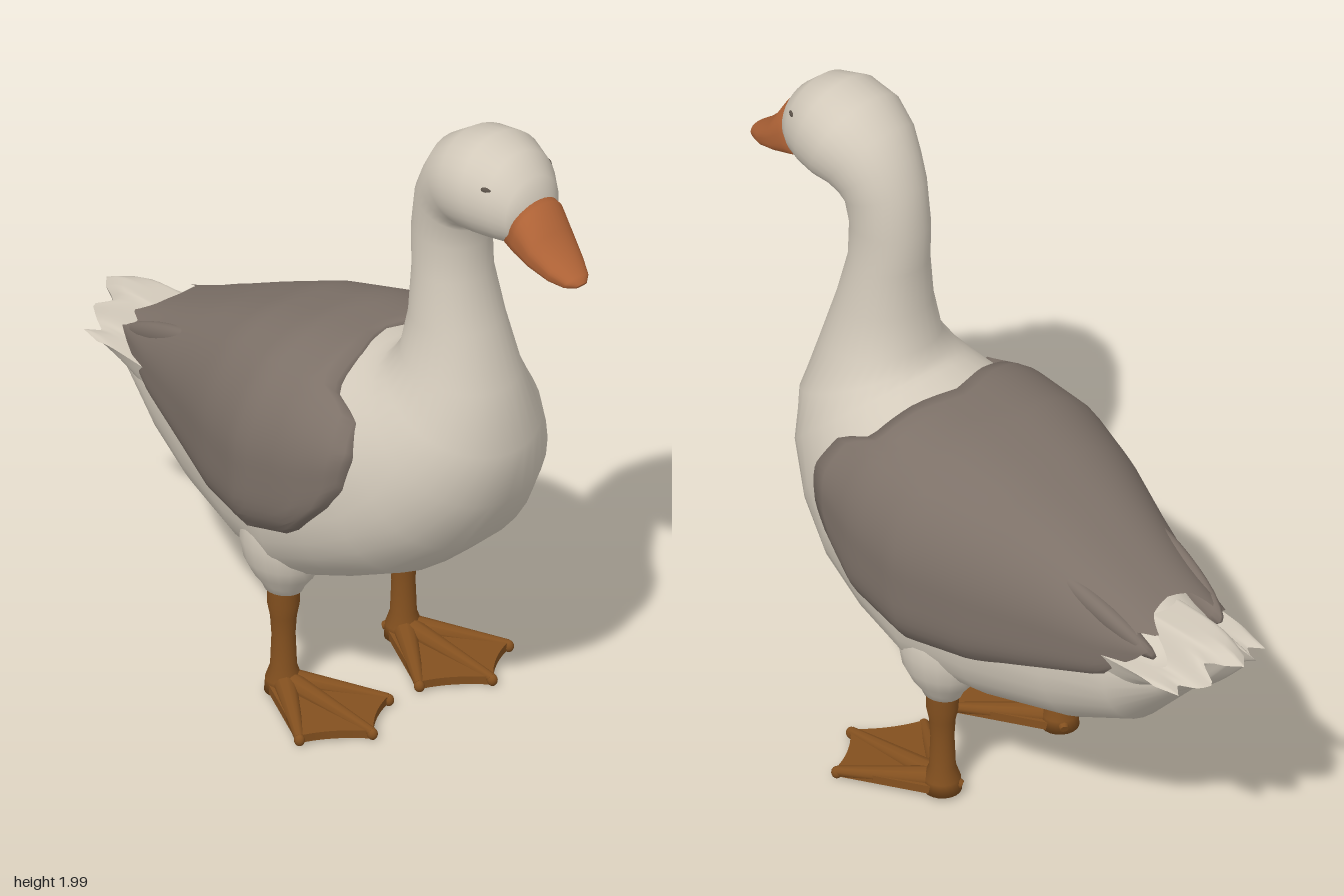
import * as THREE from 'three';

const white = new THREE.MeshStandardMaterial({ color: 0xd3cabb });
const brown = new THREE.MeshStandardMaterial({ color: 0x7d7168, side: THREE.DoubleSide });
const orange = new THREE.MeshStandardMaterial({ color: 0xb16437 });
const ochre = new THREE.MeshStandardMaterial({ color: 0x83501f });
const dark = new THREE.MeshStandardMaterial({ color: 0x5a5148 });
white.name = 'cream plumage';
brown.name = 'grey brown plumage';
orange.name = 'beak orange';
ochre.name = 'leg ochre';
dark.name = 'eye dark';

function mesh(name, geometry, material) {
  const m = new THREE.Mesh(geometry, material);
  m.name = name;
  return m;
}

function buildGeometry(positions, index) {
  const g = new THREE.BufferGeometry();
  g.setAttribute('position', new THREE.Float32BufferAttribute(positions, 3));
  g.setIndex(index);
  g.computeVertexNormals();
  return g;
}

// Closed loft: each ring is [topZ, topY, bottomZ, bottomY, halfWidth, belly power];
// a power under 1 makes the lower half of that ring boxier
function loft(rings, n = 32) {
  const pos = [], idx = [];
  const bulge = (v, p) => Math.sign(v) * Math.abs(v) ** p;
  for (const [tz, ty, bz, by, w, belly = 0.97] of rings) {
    for (let j = 0; j < n; j++) {
      const a = (j / n) * Math.PI * 2;
      const power = Math.cos(a) < 0 ? belly : 0.97;
      const c = bulge(Math.cos(a), power) / 2;
      pos.push(w * bulge(Math.sin(a), power), (ty + by) / 2 + (ty - by) * c, (tz + bz) / 2 + (tz - bz) * c);
    }
  }
  for (let i = 0; i < rings.length - 1; i++) {
    for (let j = 0; j < n; j++) {
      const a = i * n + j, b = i * n + (j + 1) % n;
      idx.push(a, a + n, b, b, a + n, b + n);
    }
  }
  for (const end of [0, rings.length - 1]) {
    const [tz, ty, bz, by] = rings[end];
    const centre = pos.length / 3;
    pos.push(0, (ty + by) / 2, (tz + bz) / 2);
    for (let j = 0; j < n; j++) {
      const a = end * n + j, b = end * n + (j + 1) % n;
      if (end) idx.push(centre, b, a);
      else idx.push(centre, a, b);
    }
  }
  return buildGeometry(pos, idx);
}

// Linear lookup in a list of [key, value...] with rising keys
function lookup(table, key, column = 1) {
  let i = 1;
  while (i < table.length - 1 && table[i][0] < key) i++;
  const a = table[i - 1], b = table[i];
  const t = THREE.MathUtils.clamp((key - a[0]) / (b[0] - a[0]), 0, 1);
  return a[column] + (b[column] - a[column]) * t;
}

// Sheet of points from a rule (u, v in 0..1), u running back and v running to +x
function sheet(nu, nv, rule, flip = false) {
  const pos = [], idx = [], row = nv + 1;
  for (let i = 0; i <= nu; i++) {
    for (let j = 0; j <= nv; j++) {
      pos.push(...rule(i / nu, j / nv));
      if (i === nu || j === nv) continue;
      const a = i * row + j, b = a + 1, c = a + row, d = c + 1;
      if (flip) idx.push(a, c, b, b, c, d);
      else idx.push(a, b, c, b, d, c);
    }
  }
  return buildGeometry(pos, idx);
}

// Folded wings and back: an open shell draped over the body
function mantlePoint(u, across) {
  const stations = [ // z, half width, top y, lower y
    [-0.76, 0.15, 0.88, 0.79], [-0.6, 0.205, 0.95, 0.69], [-0.4, 0.275, 1.04, 0.64],
    [-0.2, 0.355, 1.12, 0.605], [0, 0.413, 1.17, 0.6], [0.2, 0.405, 1.185, 0.65], [0.39, 0.36, 1.11, 0.8],
  ];
  const frontEdge = [[0, 0.18], [0.1, 0.22], [0.28, 0.25], [0.34, 0.36], [0.55, 0.39], [0.8, 0.37], [0.9, 0.32], [1, 0.16]];
  const backEdge = [[0, -0.68], [0.15, -0.7], [0.3, -0.76], [0.4, -0.7], [0.6, -0.76], [0.8, -0.72], [1, -0.6]];
  const v = across * 2 - 1, s = Math.abs(v);
  const z = THREE.MathUtils.lerp(lookup(frontEdge, s), lookup(backEdge, s), Math.max(0, (u - 0.04) / 0.96));
  const w = lookup(stations, z, 1), top = lookup(stations, z, 2), low = lookup(stations, z, 3);
  const mid = low + 0.4 * (top - low);
  // the front rim is tucked under so it looks thick
  const tuck = u === 0 ? 0.9 : 1, drop = u === 0 ? 0.025 : 0;
  if (s < 0.7) {
    const a = (s / 0.7) * Math.PI / 2;
    return [Math.sign(v) * w * Math.sin(a) ** 0.75 * tuck, mid + (top - mid) * Math.cos(a) - drop, z];
  }
  const t = (s - 0.7) / 0.3;
  return [Math.sign(v) * w * (1 - 0.12 * t ** 5) * tuck, mid + (low - mid) * t - drop, z];
}

// Tail wedge: a raised middle, sides that sweep lower, and pointed feather ends
function tailPoint(lower) {
  const tips = [[0, -0.99], [0.2, -0.95], [0.34, -0.89], [0.45, -0.955], [0.6, -0.9], [0.72, -0.86], [0.9, -0.9], [1, -0.82]];
  return (u, across) => {
    const v = across * 2 - 1, s = Math.abs(v);
    const side = THREE.MathUtils.smoothstep(s, 0.25, 0.6);
    const tipY = THREE.MathUtils.lerp(0.835, 0.77, side);
    const upper = THREE.MathUtils.lerp(THREE.MathUtils.lerp(0.873, 0.78, side), tipY, u ** 7);
    const under = THREE.MathUtils.lerp(THREE.MathUtils.lerp(0.53, 0.77, u ** 0.9), tipY, u ** 6);
    const y = lower ? THREE.MathUtils.lerp(under, upper, s ** 3) : upper;
    return [v * (0.2 - 0.015 * u), y, THREE.MathUtils.lerp(-0.6, lookup(tips, s), u)];
  };
}

function ellipsoid(name, material, centre, radii, rotation = [0, 0, 0]) {
  const m = mesh(name, new THREE.SphereGeometry(1, 18, 12), material);
  m.position.set(...centre);
  m.scale.set(...radii);
  m.rotation.set(...rotation);
  return m;
}

function lathe(name, profile, material) {
  return mesh(name, new THREE.LatheGeometry(profile.map((p) => new THREE.Vector2(...p)), 20), material);
}

// Tapered toe from the ankle to a tip
function toe(from, to, r0, r1) {
  const a = new THREE.Vector3(...from), b = new THREE.Vector3(...to);
  const m = mesh('toe', new THREE.CylinderGeometry(r1, r0, a.distanceTo(b), 10), ochre);
  m.position.copy(a).add(b).multiplyScalar(0.5);
  m.quaternion.setFromUnitVectors(new THREE.Vector3(0, 1, 0), b.sub(a).normalize());
  return m;
}

function createLeg(side) {
  const leg = new THREE.Group();
  leg.name = side > 0 ? 'leftLeg' : 'rightLeg';
  leg.position.x = side * 0.225;
  leg.add(lathe('shank', [[0, 0.015], [0.055, 0.02], [0.052, 0.06], [0.038, 0.1], [0.034, 0.2], [0.038, 0.26], [0.046, 0.3], [0.048, 0.4]], ochre));
  // feathered thigh flaring up into the belly
  const thigh = lathe('thigh', [[0.04, 0.345], [0.052, 0.35], [0.06, 0.37], [0.085, 0.405], [0.106, 0.45],
    [0.116, 0.51], [0.112, 0.57], [0.09, 0.63], [0.04, 0.68]], white);
  thigh.scale.z = 1.15;
  leg.add(thigh);
  // webbed foot
  const web = new THREE.Shape();
  web.moveTo(-0.04, -0.03);
  web.lineTo(-0.17, 0.25);
  web.quadraticCurveTo(-0.07, 0.28, 0.01, 0.365);
  web.quadraticCurveTo(0.08, 0.28, 0.175, 0.25);
  web.lineTo(0.04, -0.03);
  const webGeo = new THREE.ExtrudeGeometry(web, { depth: 0.025, bevelEnabled: false });
  webGeo.rotateX(Math.PI / 2);
  const webMesh = mesh('web', webGeo, ochre);
  webMesh.position.y = 0.05;
  webMesh.rotation.x = 0.04;
  leg.add(webMesh);
  for (const [x, z] of [[-0.165, 0.25], [0.01, 0.36], [0.17, 0.25]]) {
    leg.add(toe([0, 0.052, 0.0], [x, 0.03, z], 0.036, 0.014));
    leg.add(ellipsoid('toeTip', ochre, [x, 0.025, z], [0.015, 0.018, 0.016]));
  }
  leg.add(toe([0, 0.06, 0], [-side * 0.03, 0.04, -0.05], 0.03, 0.012));
  return leg;
}

export function createModel() {
  const goose = new THREE.Group();
  goose.name = 'goose';

  // Body, neck and head in one skin
  goose.add(mesh('body', loft([
    [-0.8, 0.81, -0.83, 0.72, 0.1], [-0.75, 0.84, -0.77, 0.64, 0.14],
    [-0.6, 0.91, -0.62, 0.485, 0.185], [-0.4, 0.99, -0.43, 0.405, 0.25, 0.9],
    [-0.15, 1.1, -0.17, 0.376, 0.33, 0.74], [0.05, 1.15, 0.05, 0.376, 0.37, 0.68],
    [0.18, 1.172, 0.24, 0.45, 0.37, 0.72], [0.24, 1.18, 0.43, 0.53, 0.35, 0.82],
    [0.265, 1.19, 0.58, 0.66, 0.315, 0.88], [0.28, 1.195, 0.685, 0.83, 0.275],
    [0.295, 1.21, 0.71, 1.0, 0.225], [0.315, 1.25, 0.665, 1.18, 0.165],
    [0.338, 1.36, 0.61, 1.35, 0.135], [0.343, 1.5, 0.57, 1.5, 0.115],
    [0.335, 1.62, 0.57, 1.61, 0.11], [0.36, 1.76, 0.58, 1.67, 0.118],
    [0.4, 1.84, 0.59, 1.685, 0.13], [0.45, 1.92, 0.61, 1.692, 0.145], [0.54, 1.98, 0.65, 1.695, 0.163],
    [0.64, 2.0, 0.7, 1.7, 0.157], [0.73, 1.975, 0.755, 1.705, 0.13],
    [0.79, 1.92, 0.785, 1.715, 0.1], [0.82, 1.86, 0.8, 1.74, 0.07],
  ]), white));

  // Beak, flat underneath
  goose.add(mesh('beak', loft([
    [0.79, 1.875, 0.745, 1.7, 0.086, 0.7], [0.835, 1.855, 0.79, 1.69, 0.092, 0.65],
    [0.88, 1.78, 0.85, 1.675, 0.085, 0.6], [0.94, 1.72, 0.915, 1.655, 0.066, 0.6],
    [0.985, 1.685, 0.96, 1.647, 0.044, 0.7], [1.0, 1.668, 0.985, 1.65, 0.02],
  ]), orange));

  goose.add(mesh('foldedWings', sheet(25, 56, mantlePoint), brown));
  goose.add(mesh('tailTop', sheet(10, 60, tailPoint(false)), white));
  goose.add(mesh('tailUnderside', sheet(10, 60, tailPoint(true), true), white));

  for (const side of [-1, 1]) {
    // flight feathers lying along the edge of the back
    goose.add(ellipsoid('flightFeather', brown, [side * 0.15, 0.885, -0.54], [0.035, 0.055, 0.24], [-0.33, side * 0.1, -side * 0.5]));
    goose.add(ellipsoid('brow', white, [side * 0.095, 1.925, 0.69], [0.028, 0.014, 0.07], [0.1, -side * 0.35, -side * 0.5]));
    goose.add(ellipsoid('eye', dark, [side * 0.117, 1.897, 0.726], [0.008, 0.009, 0.018], [0, -side * 0.45, side * 0.3]));
    goose.add(createLeg(side));
  }
  return goose;
}
